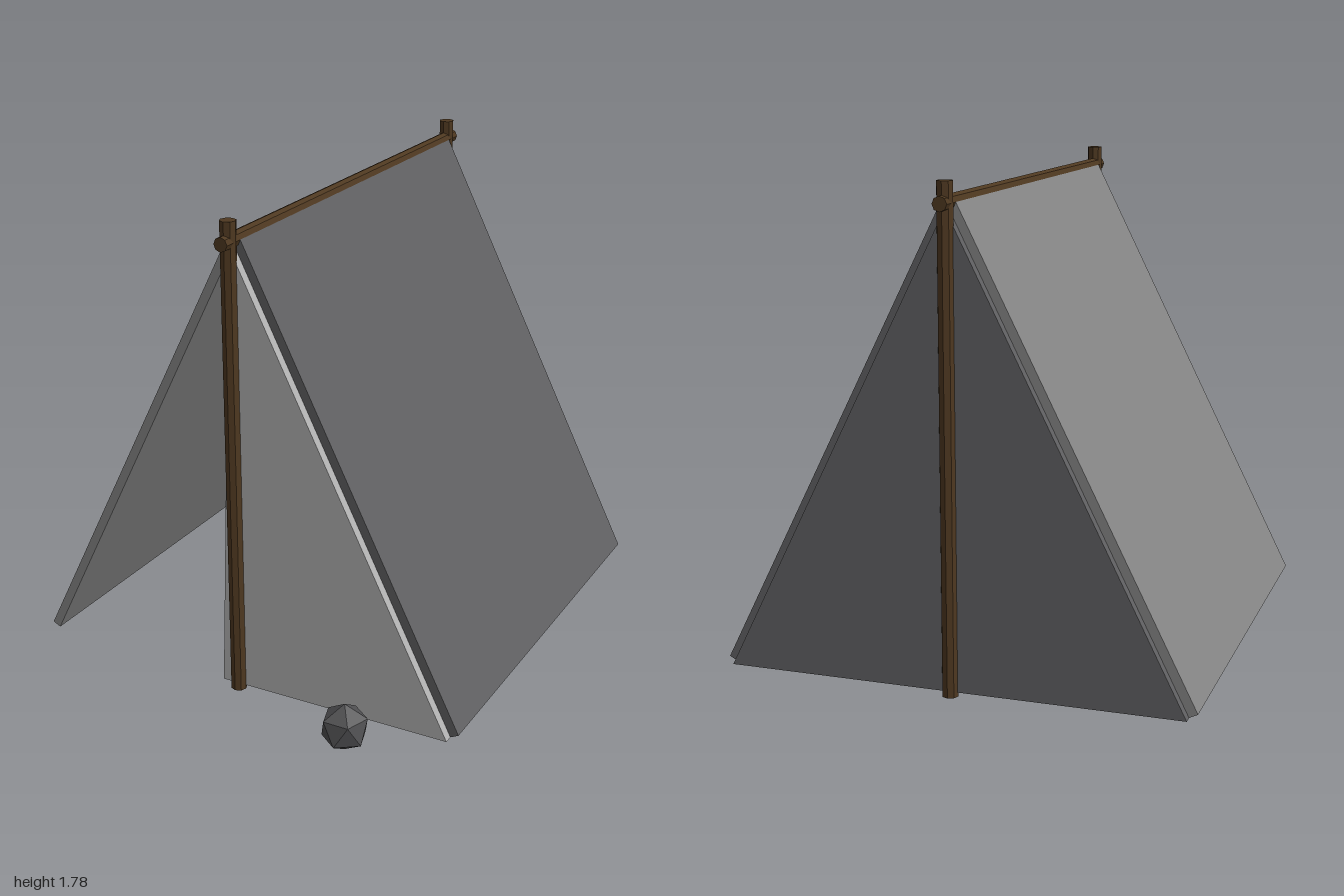
import * as THREE from 'three';

const mat = (name, color) => new THREE.MeshStandardMaterial({ name, color, flatShading: true });

export function createModel() {
  const tent = new THREE.Group();
  tent.name = 'tent';
  const wood = mat('darkWood', 0x4e3820);
  const dark = mat('darkCanvas', 0x606062);
  const mid = mat('midCanvas', 0x868686);
  const light = mat('lightCanvas', 0xb2b2b2);
  const stone = mat('stone', 0x505052);

  const add = (name, geometry, material, x = 0, y = 0, z = 0) => {
    const mesh = new THREE.Mesh(geometry, material);
    mesh.name = name;
    mesh.position.set(x, y, z);
    tent.add(mesh);
    return mesh;
  };
  // Cloth sheet: an outline in x, y extruded from z0 to z1
  const sheet = (name, points, z0, z1, material) => {
    const shape = new THREE.Shape(points.map(([x, y]) => new THREE.Vector2(x, y)));
    const geometry = new THREE.ExtrudeGeometry(shape, { depth: z1 - z0, bevelEnabled: false });
    return add(name, geometry, material, 0, 0, z0);
  };

  // Upright posts and ridge pole
  const post = new THREE.CylinderGeometry(0.029, 0.029, 1.75, 8);
  add('frontPost', post, wood, 0, 0.905, 0.77);
  add('backPost', post, wood, 0, 0.905, -0.95);
  const ridge = new THREE.CylinderGeometry(0.026, 0.026, 1.82, 8).rotateX(Math.PI / 2);
  add('ridgePole', ridge, wood, 0, 1.708, -0.09);

  // Sloping roof sheets
  for (const [name, s, material] of [['leftRoof', 1, dark], ['rightRoof', -1, mid]]) {
    const section = [[0.825, 0.045], [0.855, 0.06], [0.022, 1.716], [-0.008, 1.701]];
    sheet(name, section.map(([x, y]) => [s * x, y]), -0.92, 0.737, material);
  }

  // Back wall and the single closed door flap
  sheet('backWall', [[-0.825, 0.045], [0.825, 0.045], [0, 1.69]], -0.953, -0.92, dark);
  sheet('doorFlap', [[-0.065, 0.045], [0.825, 0.045], [0, 1.69]], 0.737, 0.77, light);

  // Rock beside the entrance, standing on one corner
  const rock = new THREE.IcosahedronGeometry(0.09, 0);
  rock.rotateZ(-Math.atan(2 / (1 + Math.sqrt(5)))).rotateY(0.3);
  add('rock', rock, stone, 0.505, 0.09, 0.91);

  return tent;
}
